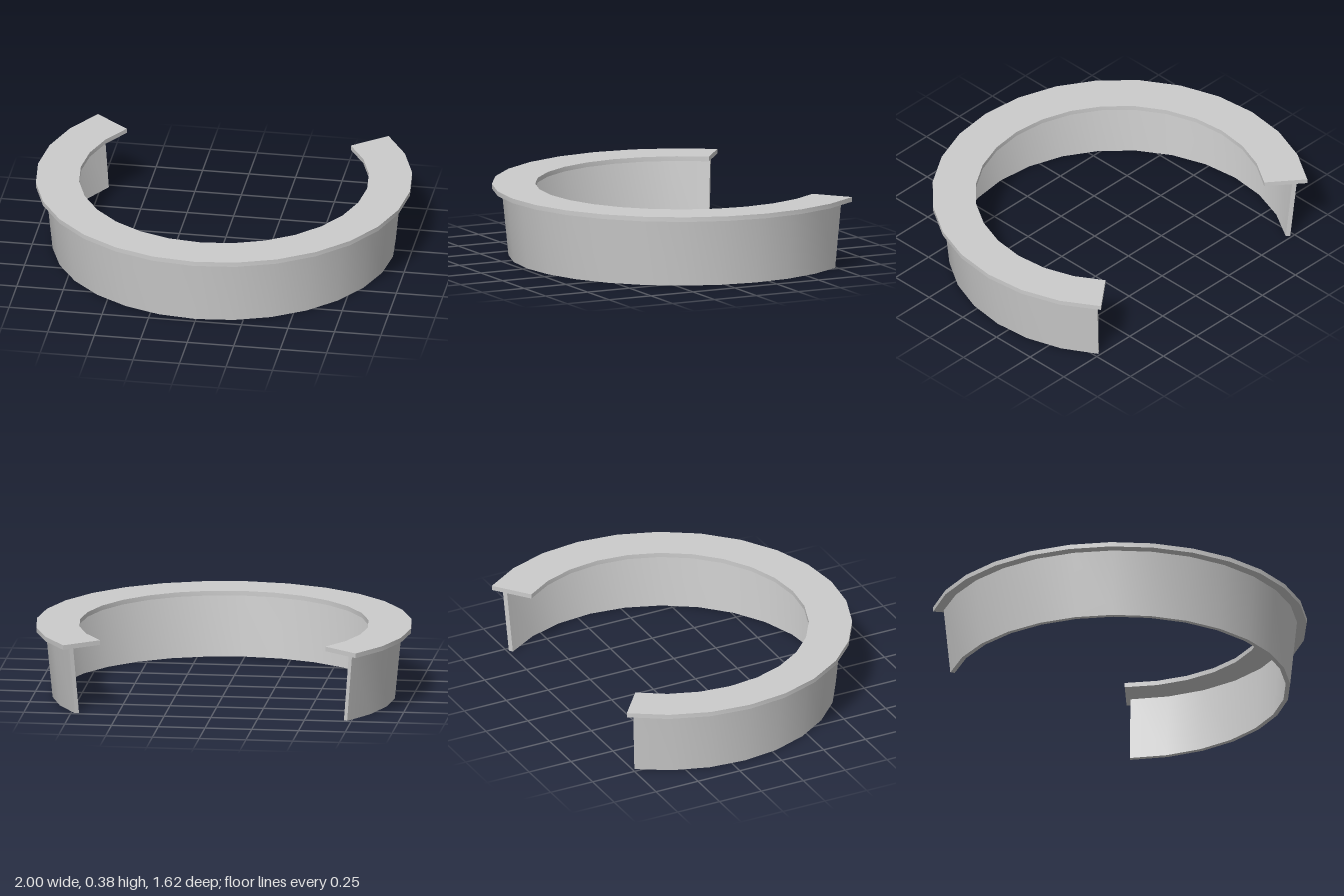
import * as THREE from 'three';
import { mergeGeometries, toCreasedNormals } from 'three/addons/utils/BufferGeometryUtils.js';

const CENTRE_Z = -0.189;
const SEGMENTS = 20;
const material = new THREE.MeshStandardMaterial({ color: 0xcccccc });

// Flat end face of a swept ring; the far end is flipped to face outward.
function endCap(profile, phi, flip) {
  const cap = new THREE.ShapeGeometry(new THREE.Shape(profile));
  cap.rotateY(phi - Math.PI / 2);
  if (flip) cap.setIndex(Array.from(cap.index.array).reverse());
  return cap;
}

// Solid open ring: a closed [radius, height] outline swept evenly either side of the front.
function openRing(name, outline, halfDegrees) {
  const half = THREE.MathUtils.degToRad(halfDegrees);
  const profile = outline.map(([r, y]) => new THREE.Vector2(r, y));
  const sweep = new THREE.LatheGeometry([...profile, profile[0].clone()], SEGMENTS, -half, half * 2);
  const solid = mergeGeometries([sweep, endCap(profile, -half, false), endCap(profile, half, true)]);
  const mesh = new THREE.Mesh(toCreasedNormals(solid, 0.6), material);
  mesh.name = name;
  mesh.position.z = CENTRE_Z;
  return mesh;
}

export function createModel() {
  const group = new THREE.Group();
  group.name = 'openRingCounter';

  // Flat top: 20 of 28 steps round the circle
  group.add(openRing('topFlange', [[0.77, 0.36], [1, 0.36], [1, 0.385], [0.77, 0.385]], 180 * SEGMENTS / 28));

  // Thin wall, leaning outward towards the top and ending just short of the flange
  group.add(openRing('taperedWall', [[0.888, 0], [0.912, 0], [0.948, 0.36], [0.924, 0.36]], 127.1));

  return group;
}
